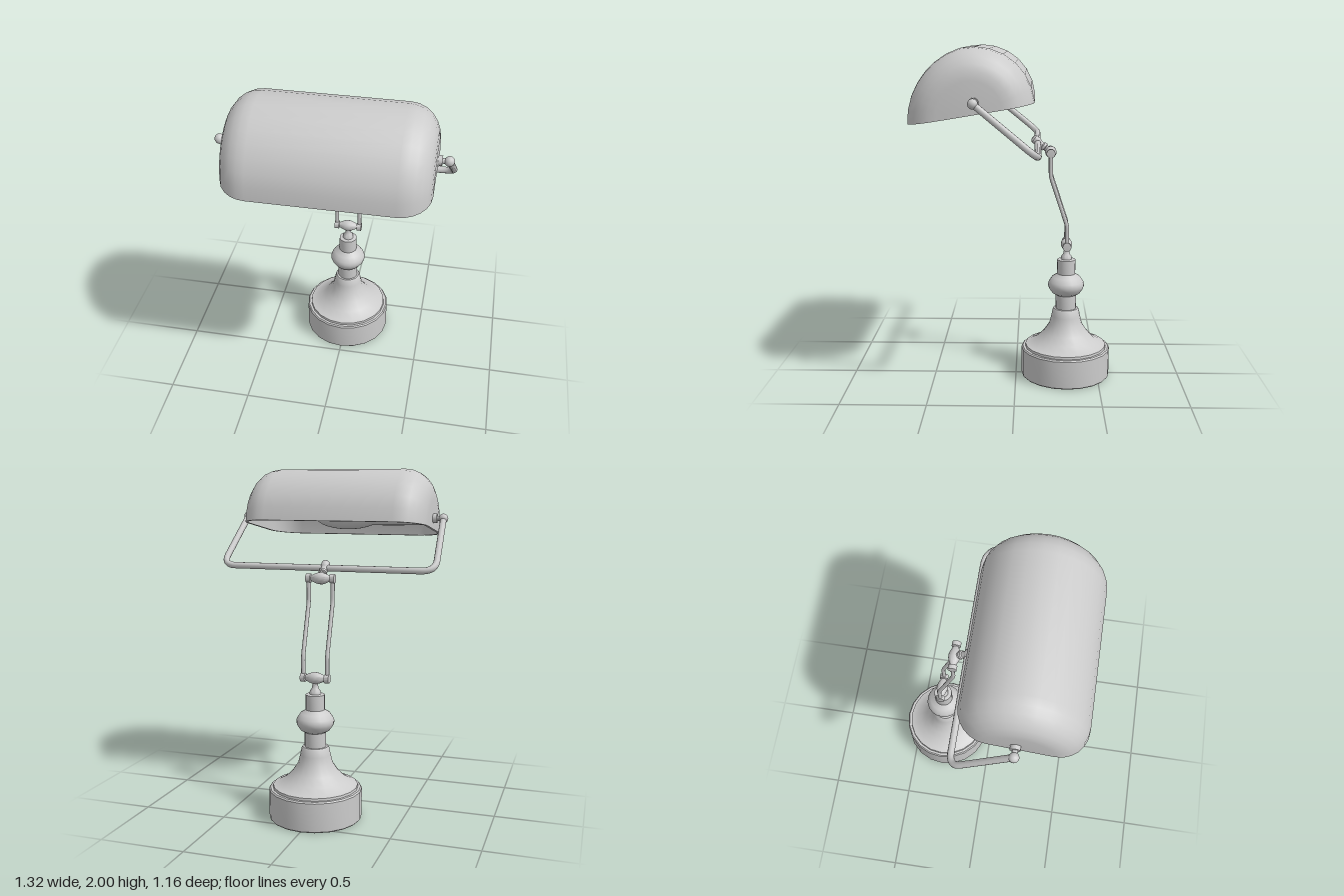
import * as THREE from 'three';
import { toCreasedNormals } from 'three/addons/utils/BufferGeometryUtils.js';

const mat = new THREE.MeshStandardMaterial({ color: 0xcccccc });
const V = (x, y, z) => new THREE.Vector3(x, y, z);

function add(parent, name, geo, x = 0, y = 0, z = 0) {
  const m = new THREE.Mesh(geo, mat);
  m.name = name;
  m.position.set(x, y, z);
  parent.add(m);
  return m;
}

const lathe = (pts, seg = 20, len = Math.PI * 2) =>
  new THREE.LatheGeometry(pts.map(p => new THREE.Vector2(p[0], p[1])), seg, 0, len);

// Turned shape whose axis runs along x
const latheX = (pts, seg = 16) => toCreasedNormals(lathe(pts, seg).rotateZ(-Math.PI / 2), 0.7);

// Rod through points with rounded corners
function rod(pts, radius, bend, seg) {
  const path = new THREE.CurvePath();
  let from = pts[0];
  for (let i = 1; i < pts.length - 1; i++) {
    const p = pts[i];
    const a = p.clone().add(pts[i - 1].clone().sub(p).setLength(bend));
    const b = p.clone().add(pts[i + 1].clone().sub(p).setLength(bend));
    path.add(new THREE.LineCurve3(from, a));
    path.add(new THREE.QuadraticBezierCurve3(a, p, b));
    from = b;
  }
  path.add(new THREE.LineCurve3(from, pts[pts.length - 1]));
  return new THREE.TubeGeometry(path, seg, radius, 10);
}

// Half profile of the shade, inset by d: radius against length
function shadeProfile(d) {
  const pts = [[0, -0.56 + d]];
  for (const s of [-1, 1]) {
    for (let i = 0; i <= 6; i++) {
      const a = (s < 0 ? 6 - i : i) / 6 * Math.PI / 2;
      pts.push([0.18 + (0.17 - d) * Math.cos(a), s * (0.39 + (0.17 - d) * Math.sin(a))]);
    }
  }
  pts.push([0, 0.56 - d]);
  return pts;
}

function roundedRect(path, w, h, r) {
  path.moveTo(w, -h + r);
  path.lineTo(w, h - r).absarc(w - r, h - r, r, 0, Math.PI / 2);
  path.absarc(-w + r, h - r, r, Math.PI / 2, Math.PI);
  path.absarc(-w + r, -h + r, r, Math.PI, Math.PI * 1.5);
  path.absarc(w - r, -h + r, r, Math.PI * 1.5, Math.PI * 2);
  return path;
}

export function createModel() {
  const lamp = new THREE.Group();
  lamp.name = 'deskLamp';
  const baseZ = -0.305;

  // Turned base and column
  add(lamp, 'base', toCreasedNormals(lathe([
    [0, 0], [0.265, 0], [0.27, 0.006], [0.27, 0.172], [0.263, 0.18], [0.248, 0.18],
    [0.246, 0.194], [0.225, 0.2], [0.175, 0.23], [0.135, 0.272], [0.1, 0.325],
    [0.088, 0.375], [0.08, 0.415], [0.074, 0.424], [0, 0.424],
  ]), 0.6), 0, 0, baseZ);
  add(lamp, 'column', toCreasedNormals(lathe([
    [0.062, 0.42], [0.062, 0.51], [0.085, 0.523], [0.104, 0.55], [0.109, 0.565], [0.109, 0.58],
    [0.104, 0.595], [0.085, 0.622], [0.058, 0.638], [0.055, 0.642], [0.055, 0.73], [0.033, 0.733],
    [0.031, 0.75], [0.02, 0.765], [0.016, 0.785], [0.018, 0.81], [0, 0.815],
  ]), 0.6), 0, 0, baseZ);

  // Spindle joints at both ends of the twin arms
  const spindle = [
    [0, -0.087], [0.026, -0.085], [0.026, -0.058], [0.016, -0.055], [0.026, -0.035], [0.034, -0.012],
    [0.034, 0.012], [0.026, 0.035], [0.016, 0.055], [0.026, 0.058], [0.026, 0.085], [0, 0.087],
  ];
  add(lamp, 'lowerJoint', latheX(spindle), 0, 0.825, baseZ);
  add(lamp, 'upperJoint', latheX(spindle), 0, 1.385, -0.205);

  // Twin cranked arms
  for (const s of [-1, 1]) {
    const x = s * 0.072;
    add(lamp, s > 0 ? 'leftArm' : 'rightArm', rod([
      V(x, 0.825, baseZ), V(x, 0.95, baseZ), V(x, 1.25, -0.205), V(x, 1.385, -0.205),
    ], 0.012, 0.025, 40));
  }

  // Stem joining the upper joint to the bracket
  const stem = add(lamp, 'bracketStem', toCreasedNormals(lathe([
    [0, 0], [0.018, 0], [0.018, 0.04], [0.025, 0.045], [0.025, 0.06], [0.018, 0.065],
    [0.018, 0.085], [0.025, 0.095], [0.025, 0.125], [0.015, 0.136], [0, 0.138],
  ], 14), 0.7), 0, 1.385, -0.205);
  stem.quaternion.setFromUnitVectors(V(0, 1, 0), V(0, 0.33, 0.415).normalize());

  // U-shaped bracket
  add(lamp, 'bracket', rod([
    V(0.62, 1.715, 0.21), V(0.645, 1.437, -0.128), V(-0.645, 1.437, -0.128), V(-0.62, 1.715, 0.21),
  ], 0.019, 0.085, 150));

  // Pivots between bracket and shade
  for (const s of [-1, 1]) {
    const pivot = new THREE.Group();
    pivot.name = s > 0 ? 'leftPivot' : 'rightPivot';
    pivot.position.set(0, 1.715, 0.21);
    lamp.add(pivot);
    add(pivot, 'pivotWasher', new THREE.CylinderGeometry(0.028, 0.028, 0.025, 16).rotateZ(Math.PI / 2), s * 0.571);
    add(pivot, 'pivotPin', new THREE.CylinderGeometry(0.015, 0.015, 0.08, 12).rotateZ(Math.PI / 2), s * 0.595);
    add(pivot, 'pivotKnob', new THREE.SphereGeometry(0.028, 14, 10), s * 0.62);
  }

  // Shade: half-turned shell, fuller at the back than the front
  const shade = new THREE.Group();
  shade.name = 'shade';
  shade.position.set(0, 1.648, 0.235);
  shade.rotation.x = 0.165;
  lamp.add(shade);
  const wall = 0.015;
  const profile = [...shadeProfile(0), ...shadeProfile(wall).reverse()];
  const shell = lathe(profile, 14, Math.PI).rotateZ(Math.PI / 2);
  const pos = shell.attributes.position;
  for (let i = 0; i < pos.count; i++) {
    const y = pos.getY(i), z = pos.getZ(i);
    const s = Math.sin(2 * Math.atan2(y, z));
    const f = 1 - (s > 0 ? 0.06 : 0.03) * s;
    pos.setY(i, y * f);
    pos.setZ(i, z * f);
  }
  add(shade, 'shadeShell', toCreasedNormals(shell, 0.7));

  // Flat rim closing the wall thickness
  const rim = roundedRect(new THREE.Shape(), 0.56, 0.35, 0.17);
  rim.holes.push(roundedRect(new THREE.Path(), 0.56 - wall, 0.35 - wall, 0.17 - wall));
  add(shade, 'shadeRim', new THREE.ShapeGeometry(rim, 6).rotateX(Math.PI / 2));

  // Bulb and socket inside the shade
  add(lamp, 'bulb', new THREE.SphereGeometry(0.072, 20, 14).scale(2.8, 1, 1), -0.03, 1.715, 0.21);
  add(lamp, 'socket', latheX([
    [0, -0.55], [0.055, -0.55], [0.055, -0.53], [0.04, -0.52], [0.045, -0.3], [0.045, -0.18], [0, -0.17],
  ]), 0, 1.715, 0.21);
  return lamp;
}
